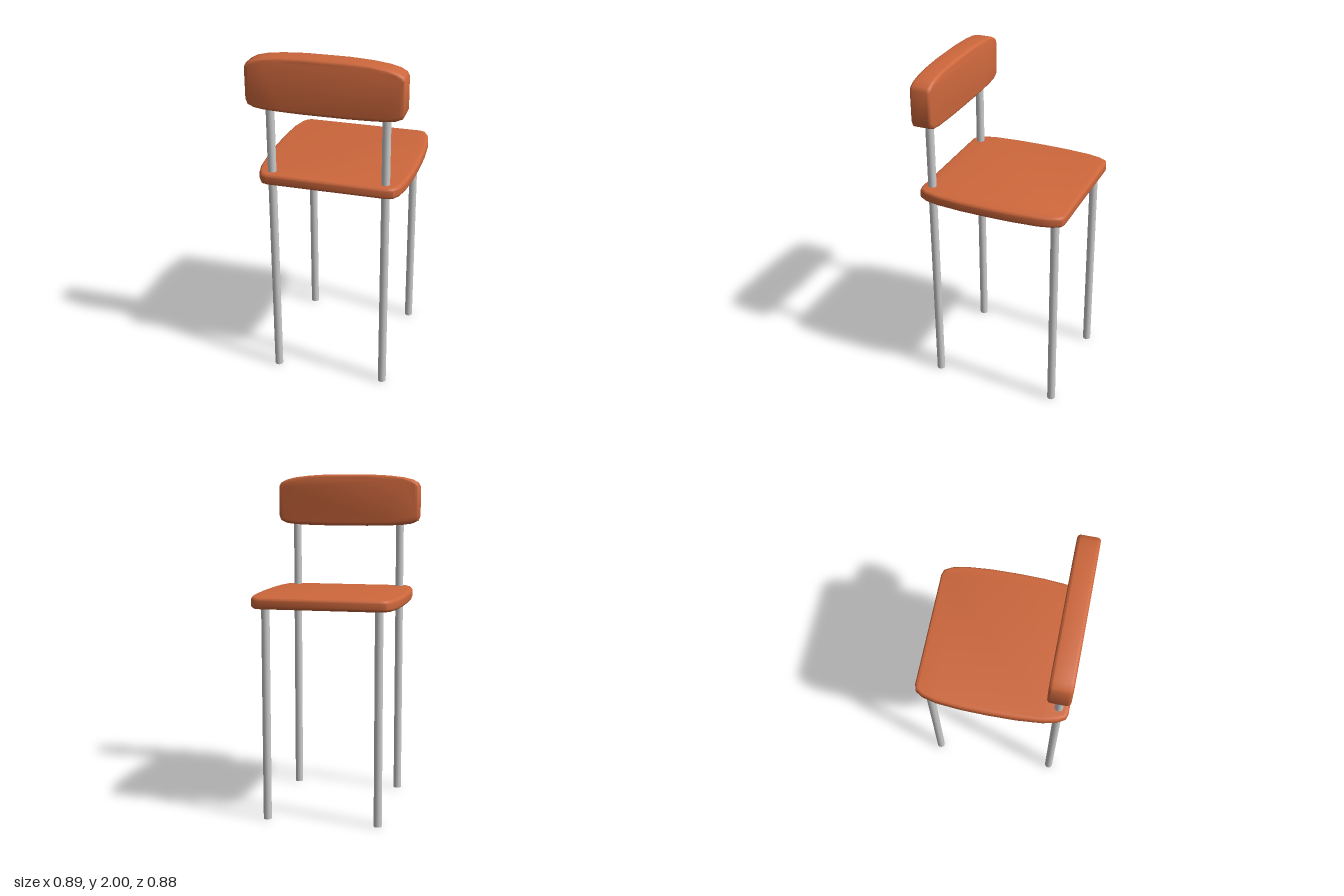
import * as THREE from 'three';
import { toCreasedNormals } from 'three/addons/utils/BufferGeometryUtils.js';

const orange = new THREE.MeshStandardMaterial({ color: 0xcd673c });
const grey = new THREE.MeshStandardMaterial({ color: 0xcccccc });

// Slab with rounded rims; half holds the +x outline from bottom to top, mirrored to -x
function cushion(name, half, thickness, bevel) {
  const right = half.map(([x, y]) => new THREE.Vector2(x, y));
  const left = half.map(([x, y]) => new THREE.Vector2(-x, y)).reverse();
  const geometry = new THREE.ExtrudeGeometry(new THREE.Shape([...right, ...left]), {
    depth: thickness - 2 * bevel,
    bevelThickness: bevel,
    bevelSize: bevel,
    bevelOffset: -bevel,
    bevelSegments: 4,
  });
  geometry.translate(0, 0, bevel - thickness / 2);
  const mesh = new THREE.Mesh(toCreasedNormals(geometry, 0.75), orange);
  mesh.name = name;
  return mesh;
}

// Upright tube standing on the floor
function leg(name, x, z, height) {
  const mesh = new THREE.Mesh(new THREE.CylinderGeometry(0.024, 0.024, height, 16), grey);
  mesh.name = name;
  mesh.position.set(x, height / 2, z);
  return mesh;
}

export function createModel() {
  const chair = new THREE.Group();
  chair.name = 'chair';

  // Seat: bowed sides, straight front and back edges
  const seatFront = [[0.345, -0.44], [0.379, -0.43], [0.405, -0.386], [0.424, -0.305], [0.436, -0.16]];
  const seatBack = seatFront.map(([x, y]) => [x, -y]).reverse();
  const seat = cushion('seat', [...seatFront, [0.439, 0], ...seatBack], 0.066, 0.018);
  seat.rotation.x = -Math.PI / 2;
  seat.position.set(0.005, 1.277, 0);
  chair.add(seat);

  // Backrest: crowned top, nearly straight lower edge
  const backrest = cushion('backrest', [
    [0.12, 1.684], [0.25, 1.687], [0.34, 1.691], [0.395, 1.699], [0.43, 1.715], [0.442, 1.745],
    [0.442, 1.925], [0.43, 1.948], [0.395, 1.967], [0.34, 1.981], [0.25, 1.992], [0.12, 1.999],
  ], 0.126, 0.02);
  backrest.position.set(-0.006, 0, 0.376);
  chair.add(backrest);

  // Legs: the pair on the backrest side runs up to carry it
  for (const [side, x] of [['left', 0.33], ['right', -0.325]]) {
    chair.add(leg(`${side}BackrestLeg`, x, 0.38, 1.72));
    chair.add(leg(`${side}SeatLeg`, x, -0.372, 1.26));
  }
  return chair;
}
